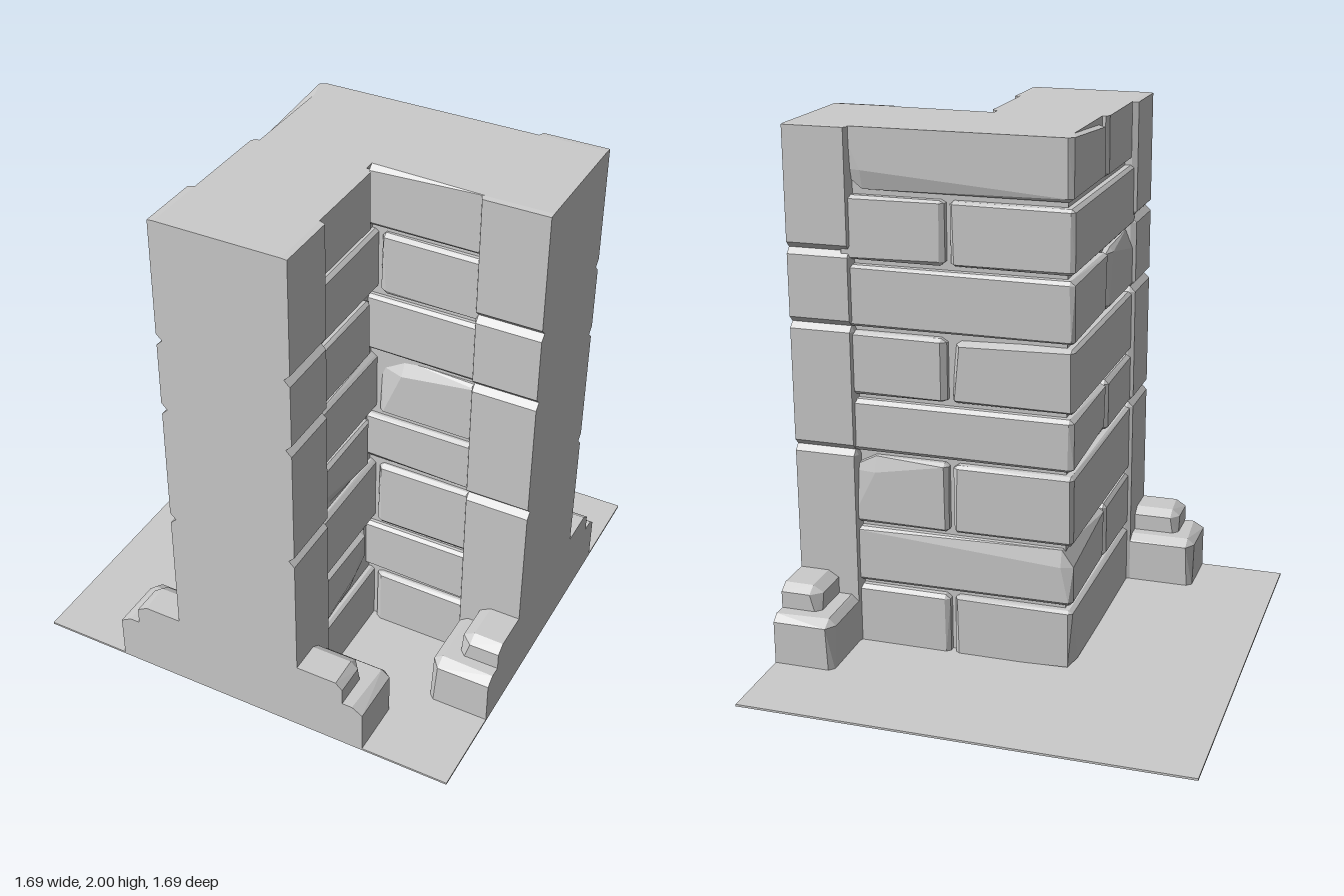
import * as THREE from 'three';
import { ConvexGeometry } from 'three/addons/geometries/ConvexGeometry.js';

const END = 0.845, TOP = 2;

export function createModel() {
  const model = new THREE.Group();
  model.name = 'cornerWall';
  const stone = new THREE.MeshStandardMaterial({ color: 0xcccccc, flatShading: true });

  let seed = 11;
  const rand = () => {
    seed = (seed * 16807) % 2147483647;
    return seed / 2147483647;
  };

  // Stone with chamfered edges: three hull points per corner, cut off flush at
  // the ends of the wall. cut() returns the chamfer [x, y, z] of each corner.
  function block(name, min, max, cut, swap) {
    const points = [];
    for (let i = 0; i < 8; i++) {
      const side = [i & 1, (i >> 1) & 1, (i >> 2) & 1];
      const c = cut(side);
      for (let face = 0; face < 3; face++) {
        const p = side.map((s, k) => {
          const inset = k === face ? 0 : c[k];
          return s ? max[k] - inset : min[k] + inset;
        });
        p[0] = Math.min(p[0], END);
        p[1] = THREE.MathUtils.clamp(p[1], 0, TOP);
        p[2] = Math.min(p[2], END);
        points.push(swap ? new THREE.Vector3(p[2], p[1], p[0]) : new THREE.Vector3(...p));
      }
    }
    const mesh = new THREE.Mesh(new ConvexGeometry(points), stone);
    mesh.name = name;
    model.add(mesh);
  }

  function box(name, min, max) {
    const size = max.map((v, k) => v - min[k]);
    const mesh = new THREE.Mesh(new THREE.BoxGeometry(...size), stone);
    mesh.position.set(...max.map((v, k) => (v + min[k]) / 2));
    mesh.name = name;
    model.add(mesh);
  }

  // Ground slab and mortar core of the L-shaped wall
  box('groundSlab', [-END, 0, -END], [END, 0.008, END]);
  box('mortarCore', [-0.2, 0, -0.2], [0.7, TOP, 0.2]);
  box('mortarCore', [-0.2, 0, 0.2], [0.2, TOP, 0.7]);

  // Worn brick edges: mostly slim chamfers, now and then a larger chip
  const worn = () => {
    const chip = rand();
    if (chip < 0.14) return [0.04 + rand() * 0.1, 0.015 + rand() * 0.06, 0.015 + rand() * 0.02];
    return [0.01 + rand() * 0.012, 0.008 + rand() * 0.008, 0.01 + rand() * 0.008];
  };

  // Brick courses: the corner stone alternates between the two wings
  const joints = [0, 0.25, 0.49, 0.78, 1.0, 1.26, 1.51, 1.765, TOP];
  for (let i = 0; i < 8; i++) {
    const swap = i % 2 === 0;
    const y0 = i ? joints[i] + 0.01 : -0.02;
    const y1 = i < 7 ? joints[i + 1] - 0.01 : TOP + 0.02;
    const out = i === 7 ? -0.225 : -0.235;
    block('cornerBrick', [out, y0, out], [0.65, y1, 0.225], worn, swap);
    block('innerBrick', [0.245, y0, out], [0.65, y1, 0.225], worn, !swap);
  }

  // End pillars with V-grooves and stepped feet, one on each wing
  const grooves = [-0.02, 0.79, 1.27, 1.55, TOP + 0.02];
  const fine = () => [0.01, 0.022, 0.022];
  const foot = (side) => (side[1] ? [0.02 + rand() * 0.025, 0.025, 0.025 + rand() * 0.02] : [0.02, 0.02, 0.02]);
  for (const swap of [false, true]) {
    for (let i = 0; i < 4; i++) {
      block('pillarBlock', [0.6, grooves[i], -0.248], [END + 0.01, grooves[i + 1], 0.248], fine, swap);
    }
    block('footLower', [0.61, -0.02, -0.51], [END + 0.05, 0.2, 0.51], foot, swap);
    block('footUpper', [0.69, 0.17, -0.43], [END + 0.05, 0.29, 0.43], foot, swap);
  }

  return model;
}
